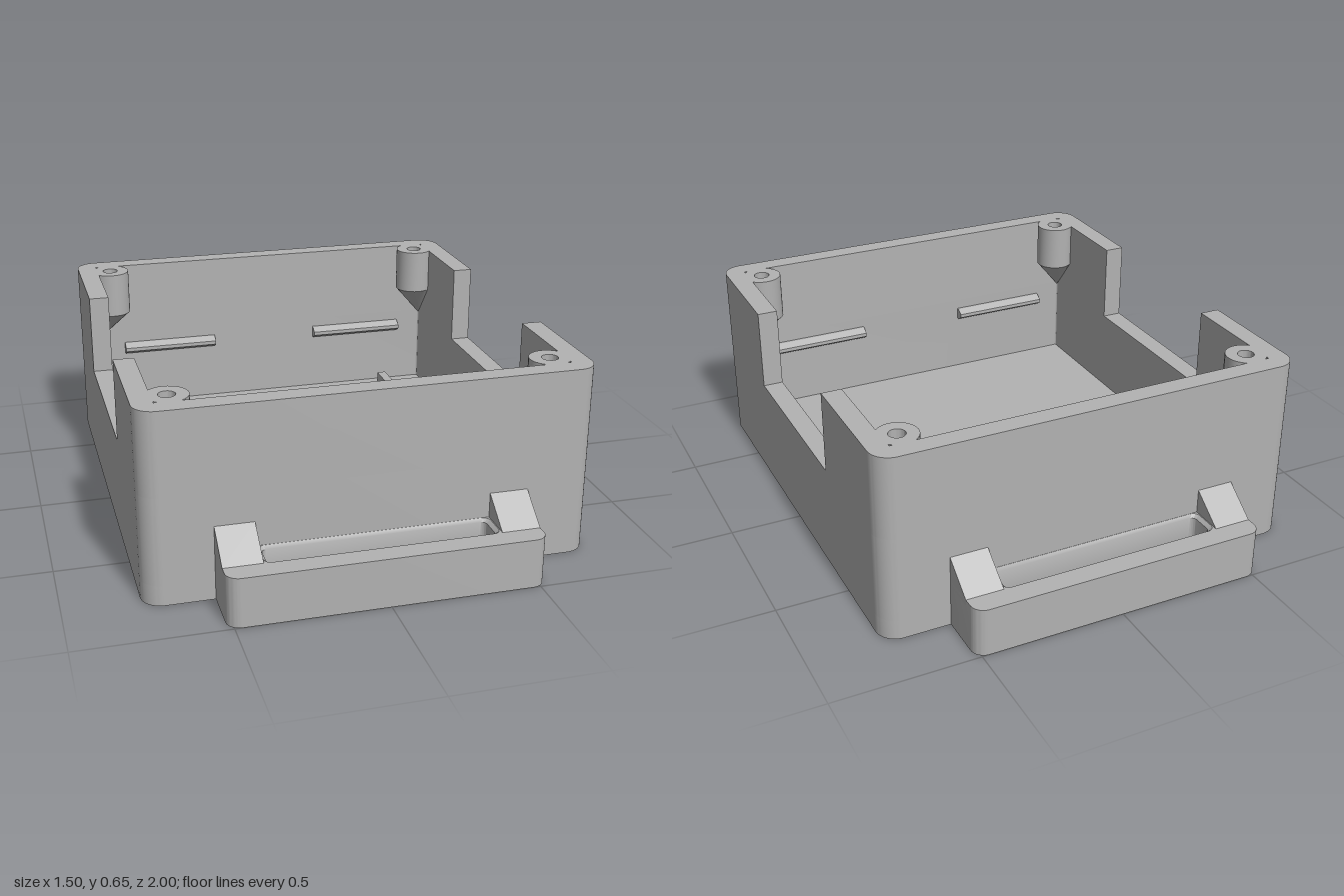
import * as THREE from 'three';
import { toCreasedNormals } from 'three/addons/utils/BufferGeometryUtils.js';

const W = 0.75, D = 0.81, H = 0.655;      // outer half width, half depth, height
const IW = 0.68, ID = 0.74, FLOOR = 0.07; // cavity half sizes, floor thickness
const CUT_Z = 0.335, CUT_Y = 0.37;        // side openings

// Rounded rectangle traced in plan; plan y is -z
function roundedRect(x0, y0, x1, y1, r, Type = THREE.Shape) {
  const s = new Type();
  s.moveTo(x0 + r, y0);
  s.lineTo(x1 - r, y0);
  s.absarc(x1 - r, y0 + r, r, -Math.PI / 2, 0);
  s.lineTo(x1, y1 - r);
  s.absarc(x1 - r, y1 - r, r, 0, Math.PI / 2);
  s.lineTo(x0 + r, y1);
  s.absarc(x0 + r, y1 - r, r, Math.PI / 2, Math.PI);
  s.lineTo(x0, y0 + r);
  s.absarc(x0 + r, y0 + r, r, Math.PI, Math.PI * 1.5);
  return s;
}

// Extrude a plan shape upwards from y0 to y1
function slab(shape, y0, y1) {
  const g = new THREE.ExtrudeGeometry(shape, { depth: y1 - y0, bevelEnabled: false, curveSegments: 8 });
  g.rotateX(-Math.PI / 2).translate(0, y0, 0);
  return toCreasedNormals(g, 0.6);
}

// Skin between stacked plan loops given as [points, y]
function loft(loops) {
  const pos = [], at = ([pts, y], i) => [pts[i % pts.length].x, y, -pts[i % pts.length].y];
  for (let k = 0; k < loops.length - 1; k++) {
    for (let i = 0; i < loops[k][0].length; i++) {
      const a = at(loops[k], i), b = at(loops[k], i + 1);
      const c = at(loops[k + 1], i), d = at(loops[k + 1], i + 1);
      pos.push(...a, ...b, ...c, ...b, ...d, ...c);
    }
  }
  const g = new THREE.BufferGeometry();
  g.setAttribute('position', new THREE.Float32BufferAttribute(pos, 3));
  return toCreasedNormals(g, 0.6);
}

export function createModel() {
  const model = new THREE.Group();
  model.name = 'enclosure';
  const plastic = new THREE.MeshStandardMaterial({ color: 0xb2b2b2, side: THREE.DoubleSide });
  plastic.name = 'grey plastic';
  const add = (name, geometry, parent = model) => {
    const m = new THREE.Mesh(geometry, plastic);
    m.name = name;
    parent.add(m);
    return m;
  };

  // Floor with two rows of vent slots
  const base = roundedRect(-W, -D, W, D, 0.07);
  for (const s of [-1, 1]) {
    for (let i = 0; i < 4; i++) {
      const y = 0.39 + i * 0.0833, x = s * 0.427;
      base.holes.push(roundedRect(x - 0.076, y - 0.025, x + 0.076, y + 0.025, 0.0245, THREE.Path));
    }
  }
  add('floor', slab(base, 0, FLOOR));

  // Lower wall ring
  const ring = roundedRect(-W, -D, W, D, 0.07);
  ring.holes.push(roundedRect(-IW, -ID, IW, ID, 0.005, THREE.Path));
  add('lowerWalls', slab(ring, FLOOR, CUT_Y));

  // Upper walls: a U at the front and at the back, leaving the side openings
  for (const [name, turn] of [['backUpperWall', 0], ['frontUpperWall', Math.PI]]) {
    const u = new THREE.Shape();
    u.moveTo(W, CUT_Z);
    u.lineTo(W, D - 0.07);
    u.absarc(W - 0.07, D - 0.07, 0.07, 0, Math.PI / 2);
    u.lineTo(-W + 0.07, D);
    u.absarc(-W + 0.07, D - 0.07, 0.07, Math.PI / 2, Math.PI);
    u.lineTo(-W, CUT_Z);
    u.lineTo(-IW, CUT_Z);
    u.lineTo(-IW, ID);
    u.lineTo(IW, ID);
    u.lineTo(IW, CUT_Z);
    add(name, slab(u, CUT_Y, H)).rotation.y = turn;
  }

  // Corner screw posts with a blind hole and a taper running into the corner
  const postProfile = [[0, 0.51], [0.028, 0.51], [0.028, H], [0.07, H], [0.07, 0.49]]
    .map(p => new THREE.Vector2(...p));
  for (const sx of [-1, 1]) {
    for (const sz of [-1, 1]) {
      const post = new THREE.Group();
      post.name = 'screwPost';
      post.position.set(sx * 0.63, 0, sz * 0.68);
      model.add(post);
      add('postSleeve', toCreasedNormals(new THREE.LatheGeometry(postProfile, 32), 0.6), post);
      const taper = new THREE.CylinderGeometry(0.07, 0.002, 0.13, 32, 1, true);
      const p = taper.attributes.position;
      for (let i = 0; i < p.count; i++) {
        if (p.getY(i) < 0) p.setXYZ(i, p.getX(i) + sx * 0.05, p.getY(i), p.getZ(i) + sz * 0.06);
      }
      taper.translate(0, 0.425, 0);
      add('postTaper', toCreasedNormals(taper, 0.6), post);
    }
  }

  // Snap ridges on the inside of the front and back walls
  for (const sz of [-1, 1]) {
    for (const sx of [-1, 1]) {
      const s = new THREE.Shape([[-0.01, -0.022], [0.01, -0.022], [0.035, -0.007], [0.035, 0.007],
        [0.01, 0.022], [-0.01, 0.022]].map(p => new THREE.Vector2(...p)));
      const g = new THREE.ExtrudeGeometry(s, { depth: 0.37, bevelEnabled: false });
      g.translate(0, 0, -0.185).rotateY(sz * Math.PI / 2);
      add('snapRidge', g).position.set(sx * 0.395, 0.31, sz * ID);
    }
  }

  // Guide ribs beside the vents
  for (const x of [-0.523, 0.508]) {
    add('guideRib', new THREE.BoxGeometry(0.034, 0.05, 0.395)).position.set(x, FLOOR + 0.015, -0.508);
  }

  // Carry handles, front and back
  for (const [name, turn] of [['frontHandle', 0], ['backHandle', Math.PI]]) {
    const handle = new THREE.Group();
    handle.name = name;
    handle.rotation.y = turn;
    model.add(handle);

    // Bar with rounded outer corners and a slot
    const bar = new THREE.Shape();
    bar.moveTo(-0.52, -0.78);
    bar.lineTo(-0.52, -0.955);
    bar.absarc(-0.475, -0.955, 0.045, Math.PI, Math.PI * 1.5);
    bar.lineTo(0.475, -1);
    bar.absarc(0.475, -0.955, 0.045, -Math.PI / 2, 0);
    bar.lineTo(0.52, -0.78);
    bar.holes.push(roundedRect(-0.387, -0.925, 0.387, -0.811, 0.025, THREE.Path));
    add('handleBar', slab(bar, 0, 0.17), handle);

    // Slot lining with chamfered mouths
    const wide = roundedRect(-0.387, -0.925, 0.387, -0.811, 0.025).getPoints(8);
    const narrow = roundedRect(-0.375, -0.913, 0.375, -0.817, 0.02).getPoints(8);
    add('slotLining', loft([[wide, 0], [narrow, 0.012], [narrow, 0.158], [wide, 0.17]]), handle);

    // Sloped gussets
    for (const s of [-1, 1]) {
      const tri = new THREE.Shape([[-0.78, 0.15], [-0.78, 0.255], [-0.81, 0.255], [-0.925, 0.17], [-0.925, 0.15]]
        .map(p => new THREE.Vector2(...p)));
      const g = new THREE.ExtrudeGeometry(tri, { depth: 0.13, bevelEnabled: false });
      g.translate(0, 0, -0.065).rotateY(Math.PI / 2);
      add('gusset', g, handle).position.x = s * 0.455;
    }
  }
  return model;
}
